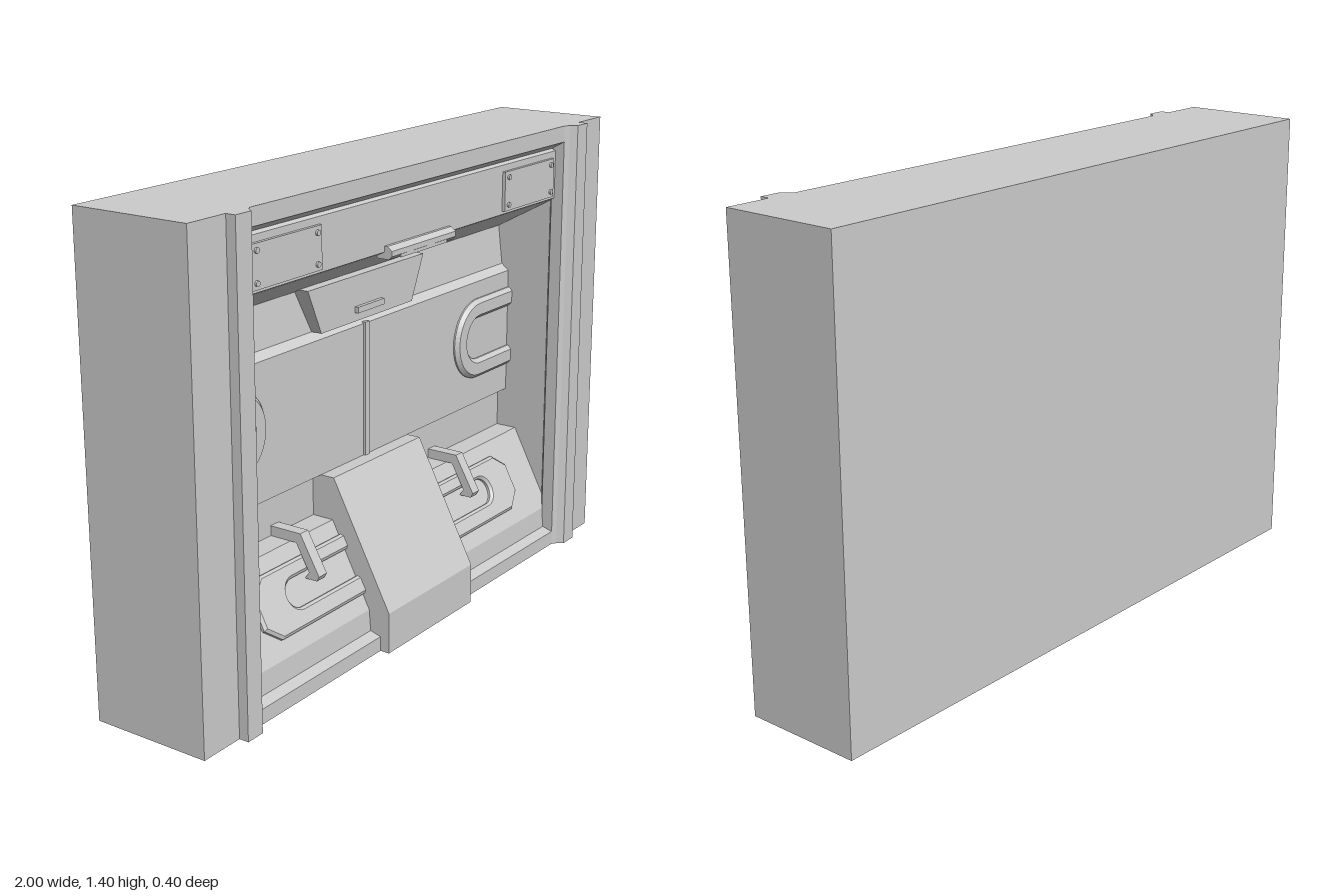
import * as THREE from 'three';

const material = new THREE.MeshStandardMaterial({ color: 0xcccccc });

const toShape = (points) => new THREE.Shape(points.map(([a, b]) => new THREE.Vector2(a, b)));

// Straight extrusion, with an optional small chamfer around the front edge
function extrude(shape, depth, bevel = 0) {
  return new THREE.ExtrudeGeometry(shape, {
    depth, curveSegments: 10, bevelEnabled: bevel > 0,
    bevelSize: bevel, bevelThickness: bevel, bevelOffset: -bevel, bevelSegments: 1,
  });
}

// Side profile given as [z, y], swept along x and centred on x = 0
function sweepX(profile, width) {
  return extrude(toShape(profile), width).translate(0, 0, -width / 2).rotateY(-Math.PI / 2);
}

// Stadium outline (slot) from x0 to x1
function slotPath(x0, x1, cy, r, Type = THREE.Path) {
  const p = new Type();
  p.moveTo(x0 + r, cy - r);
  p.lineTo(x1 - r, cy - r);
  p.absarc(x1 - r, cy, r, -Math.PI / 2, Math.PI / 2, false);
  p.lineTo(x0 + r, cy + r);
  p.absarc(x0 + r, cy, r, Math.PI / 2, Math.PI * 1.5, false);
  return p;
}

export function createModel() {
  const model = new THREE.Group();
  const add = (name, geometry, parent = model) => {
    const mesh = new THREE.Mesh(geometry, material);
    mesh.name = name;
    parent.add(mesh);
    return mesh;
  };
  const box = (name, w, h, d, x, y, z, parent) =>
    add(name, new THREE.BoxGeometry(w, h, d).translate(x, y, z), parent);

  // Recessed wall between the posts, from floor lip to top beam
  add('wallPanel', sweepX([
    [-0.2, 0], [0.17, 0], [0.17, 0.045], [0.135, 0.055], [0.13, 0.12], [0, 0.37],
    [-0.07, 0.37], [-0.07, 0.485], [-0.04, 0.5], [-0.04, 0.905], [-0.065, 0.925], [-0.08, 1.05],
    [0.12, 1.16], [0.14, 1.17], [0.14, 1.32], [0.125, 1.325], [0.17, 1.35], [0.17, 1.4], [-0.2, 1.4],
  ], 1.61));

  // Side posts with a projecting vertical rib
  for (const s of [1, -1]) {
    const plan = [
      [1, -0.2], [1, 0.17], [0.86, 0.17], [0.86, 0.2], [0.8, 0.2], [0.785, 0.18],
      [0.77, 0.17], [0.77, 0.13], [0.8, 0.11], [0.8, -0.2],
    ].map(([x, z]) => [s * x, -z]);
    add(s > 0 ? 'leftPost' : 'rightPost', extrude(toShape(plan), 1.4).rotateX(-Math.PI / 2));
  }

  // Sloping block in the middle of the lower wall
  add('centreBlock', sweepX([[-0.1, 0], [0.2, 0], [0.2, 0.125], [0.005, 0.5], [-0.1, 0.5]], 0.44));

  // Raised plate with a long slot, lying on the lower slope
  const slope = new THREE.Group();
  slope.name = 'lowerSlope';
  slope.position.set(0, 0.12, 0.13);
  slope.rotation.x = -Math.atan2(0.13, 0.25);
  model.add(slope);
  const plate = toShape([
    [-0.6, 0.05], [0.6, 0.05], [0.655, 0.095], [0.655, 0.19], [0.6, 0.235],
    [-0.6, 0.235], [-0.655, 0.19], [-0.655, 0.095],
  ]);
  plate.holes.push(slotPath(-0.525, 0.525, 0.147, 0.042));
  add('slottedPlate', extrude(plate, 0.008, 0.008), slope);

  // Bent straps hooking over the top of the lower slope
  for (const s of [1, -1]) {
    const strap = sweepX([
      [-0.07, 0.4], [0.035, 0.4], [0.1, 0.285], [0.092, 0.27], [0.05, 0.27],
      [0.065, 0.29], [0.02, 0.37], [-0.07, 0.37],
    ], 0.036);
    add('strap', strap.translate(s * 0.4, 0, 0));
  }

  // U-shaped raised frames on the middle wall
  for (const s of [1, -1]) {
    const frame = slotPath(0.475, 1.1, 0.72, 0.13, THREE.Shape);
    const hole = slotPath(0.54, 1.03, 0.72, 0.068);
    // Only the half that emerges from the post is kept
    const clip = (pts) => pts.filter((p) => p.x < 0.8).sort((a, b) =>
      Math.atan2(a.y - 0.72, 0.8 - a.x) - Math.atan2(b.y - 0.72, 0.8 - b.x));
    const outer = [[0.81, 0.59], ...clip(frame.getPoints(12)).map((p) => [p.x, p.y]), [0.81, 0.85]];
    const inner = [[0.81, 0.652], ...clip(hole.getPoints(12)).map((p) => [p.x, p.y]), [0.81, 0.788]];
    const ring = [...outer, ...inner.reverse()].map(([x, y]) => [s * x, y]);
    add('raisedFrame', extrude(toShape(ring), 0.01, 0.012).translate(0, 0, -0.045));
  }

  // Centre seam strip of the middle wall
  box('seamStrip', 0.02, 0.41, 0.012, 0, 0.705, -0.039);

  // Tapered flap with a small pull tab
  add('flap', extrude(toShape([[-0.225, 0.925], [0.225, 0.925], [0.285, 1.06], [-0.285, 1.06]]), 0.065)
    .translate(0, 0, -0.095));
  box('flapTab', 0.13, 0.018, 0.016, 0, 0.96, -0.026);

  // Handle under the header
  add('handle', sweepX([[0.1, 1.165], [0.12, 1.15], [0.155, 1.15], [0.165, 1.16], [0.165, 1.175], [0.15, 1.187], [0.1, 1.187]], 0.32));
  box('handleGrip', 0.23, 0.02, 0.045, 0, 1.16, 0.142);

  // Header name plates, each with four screws
  for (const s of [1, -1]) {
    const panel = new THREE.Group();
    panel.name = 'headerPlate';
    panel.position.set(s * 0.6, 1.24, 0.14);
    model.add(panel);
    box('plate', 0.29, 0.12, 0.02, 0, 0, 0, panel);
    for (const x of [-0.125, 0.125]) for (const y of [-0.042, 0.042])
      add('screw', new THREE.CylinderGeometry(0.008, 0.008, 0.008, 10)
        .rotateX(Math.PI / 2).translate(x, y, 0.012), panel);
  }

  return model;
}
